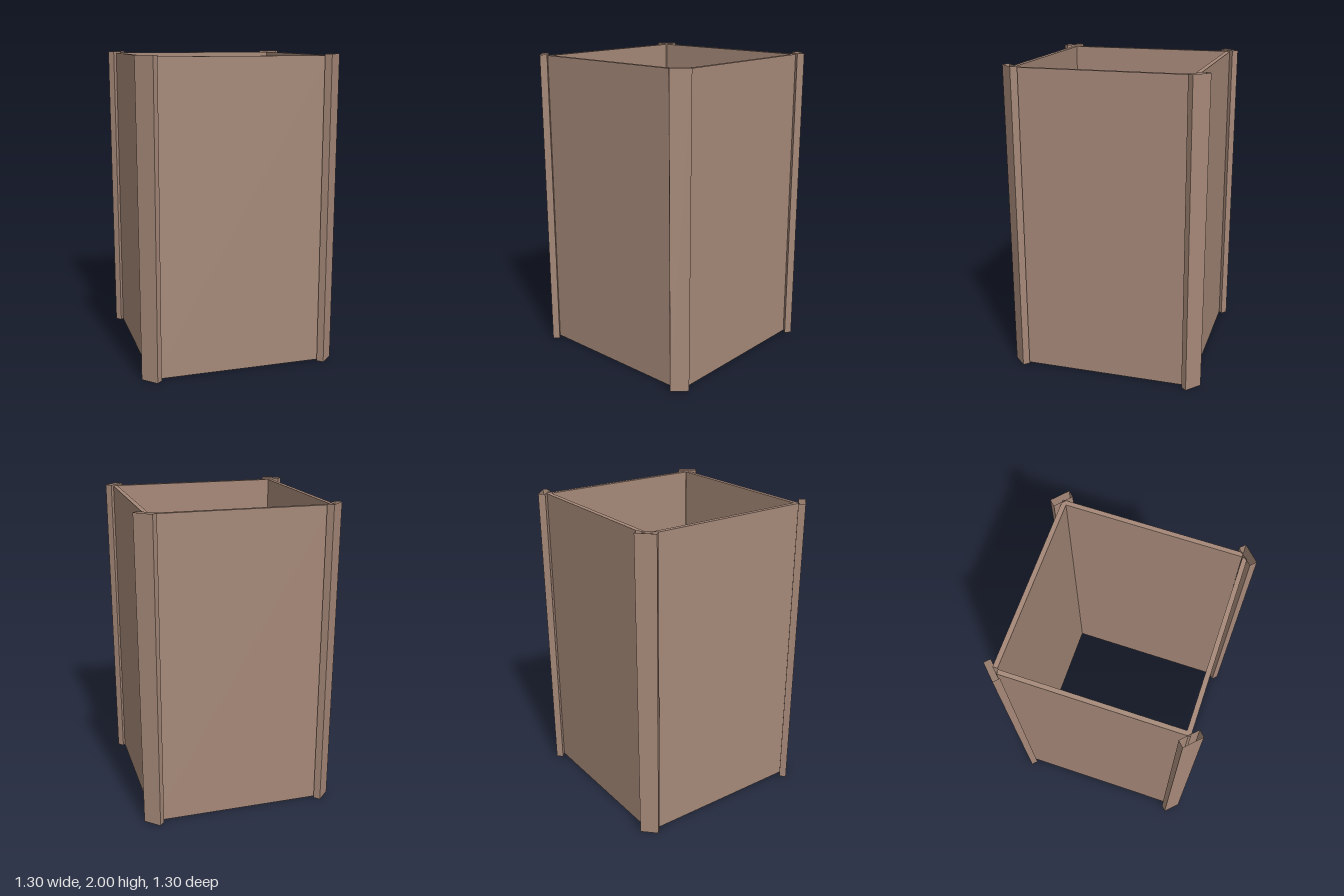
import * as THREE from 'three';

const wood = new THREE.MeshStandardMaterial({ color: 0xa58878, side: THREE.DoubleSide });
wood.name = 'brown wood';

// Flat wall board given by its footprint
function panel(name, x0, x1, z0, z1) {
  const height = 1.99;
  const mesh = new THREE.Mesh(new THREE.BoxGeometry(x1 - x0, height, z1 - z0), wood);
  mesh.position.set((x0 + x1) / 2, height / 2, (z0 + z1) / 2);
  mesh.name = name;
  return mesh;
}

// Hollow corner batten, open at both ends and slightly narrower at the foot
function batten(name, x, z, degrees) {
  const geometry = new THREE.BoxGeometry(0.129, 2, 0.046);
  const index = Array.from(geometry.index.array);
  index.splice(12, 12); // drop the top and bottom caps
  geometry.setIndex(index);
  geometry.clearGroups();
  const p = geometry.attributes.position;
  for (let i = 0; i < p.count; i++) {
    if (p.getY(i) < 0) p.setX(i, p.getX(i) * 0.92);
  }
  geometry.computeVertexNormals();
  const mesh = new THREE.Mesh(geometry, wood);
  mesh.position.set(x, 1, z);
  mesh.rotation.y = THREE.MathUtils.degToRad(degrees);
  mesh.name = name;
  return mesh;
}

export function createModel() {
  const group = new THREE.Group();
  group.name = 'openWoodenBox';

  // Four walls, each overlapping its neighbour at one corner
  group.add(
    panel('frontPanel', -0.581, 0.553, 0.547, 0.576),
    panel('backPanel', -0.549, 0.585, -0.585, -0.555),
    panel('leftPanel', 0.556, 0.585, -0.555, 0.544),
    panel('rightPanel', -0.582, -0.554, -0.55, 0.547),
  );

  // Diagonal battens across the corners
  group.add(
    batten('frontLeftBatten', 0.574, 0.573, 45),
    batten('frontRightBatten', -0.593, 0.582, -45),
    batten('backLeftBatten', 0.586, -0.593, -41.8),
    batten('backRightBatten', -0.574, -0.579, 45),
  );
  return group;
}
